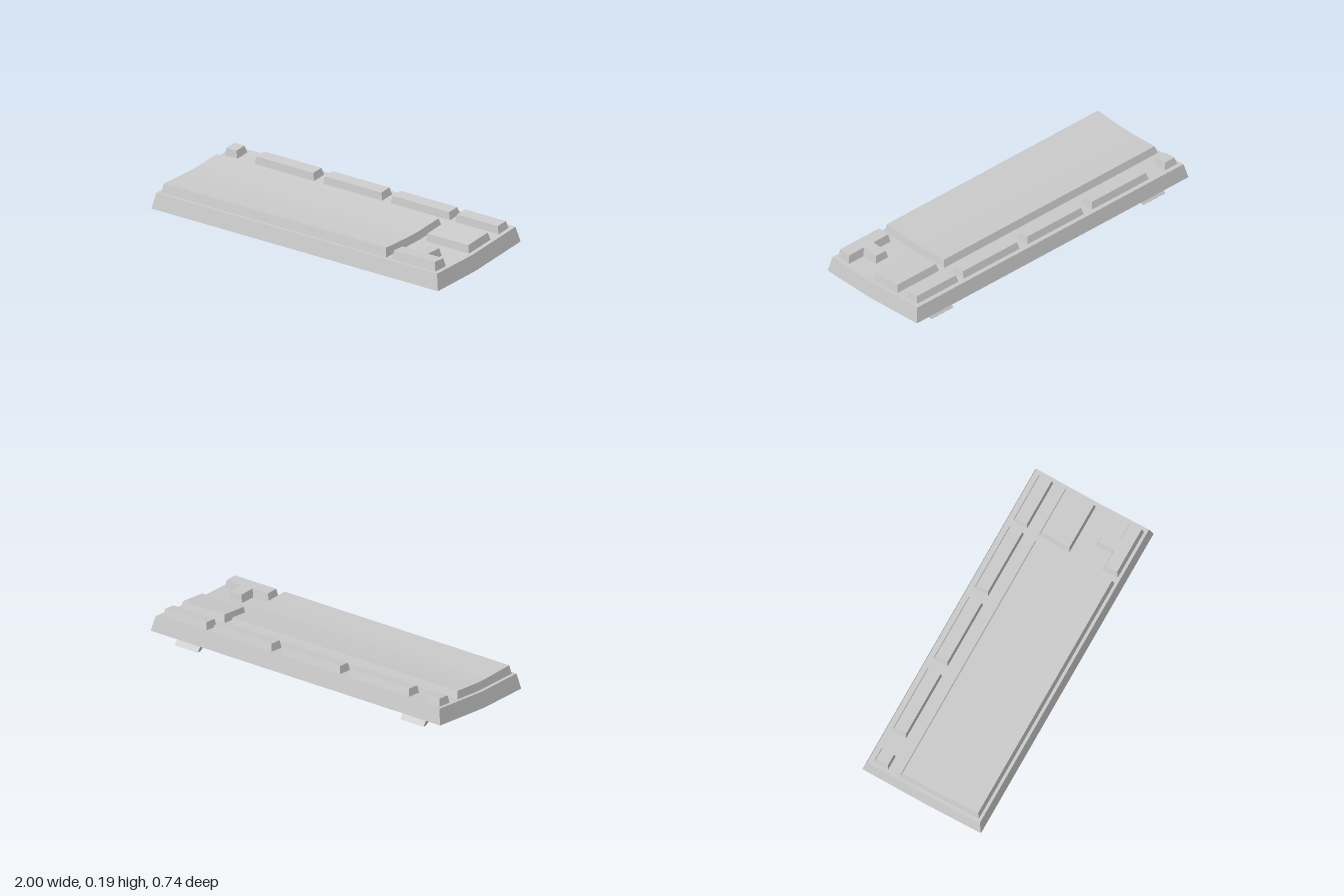
import * as THREE from 'three';
import { toCreasedNormals } from 'three/addons/utils/BufferGeometryUtils.js';

const material = new THREE.MeshStandardMaterial({ color: 0xcccccc });

// Solid between cross-sections [bottomZ, bottomY, topZ, topY], listed front to back;
// x0..x1 is the width at the bottom, and the top is narrower by inset on each side.
function loft(name, x0, x1, inset, sections) {
  const rings = sections.map(([zb, yb, zt, yt]) => [
    [x0, yb, zb], [x1, yb, zb], [x1 - inset, yt, zt], [x0 + inset, yt, zt],
  ]);
  const pos = [];
  const quad = (a, b, c, d) => pos.push(...a, ...b, ...c, ...a, ...c, ...d);
  quad(...rings[0]);
  quad(...[...rings[rings.length - 1]].reverse());
  for (let i = 0; i < rings.length - 1; i++) {
    for (let k = 0; k < 4; k++) {
      const n = (k + 1) % 4;
      quad(rings[i][k], rings[i + 1][k], rings[i + 1][n], rings[i][n]);
    }
  }
  const geometry = new THREE.BufferGeometry();
  geometry.setAttribute('position', new THREE.Float32BufferAttribute(pos, 3));
  const mesh = new THREE.Mesh(toCreasedNormals(geometry, 0.5), material);
  mesh.name = name;
  return mesh;
}

export function createModel() {
  const group = new THREE.Group();
  group.name = 'keyboard';

  // Case, bent upward towards the back
  group.add(loft('case', -1, 1, 0.02, [
    [0.372, 0.001, 0.354, 0.094],
    [0.03, 0.015, 0.033, 0.106],
    [-0.372, 0.061, -0.353, 0.15],
  ]));

  // Main key field with a dished top
  group.add(loft('mainKeys', -0.96, 0.612, 0.01, [
    [0.337, 0.094, 0.327, 0.147],
    [0.14, 0.101, 0.14, 0.147],
    [0.033, 0.105, 0.03, 0.152],
    [-0.161, 0.127, -0.147, 0.172],
  ]));

  // Separate key blocks along the back edge
  const row = [[-0.96, -0.87], [-0.75, -0.333], [-0.272, 0.142], [0.2, 0.615], [0.65, 0.955]];
  row.forEach(([x0, x1], i) => {
    group.add(loft('backRowKeys' + (i + 1), x0, x1, 0.01, [
      [-0.233, 0.135, -0.238, 0.181],
      [-0.324, 0.145, -0.311, 0.188],
    ]));
  });

  // Navigation block
  group.add(loft('navigationKeys', 0.65, 0.955, 0.01, [
    [0.034, 0.104, 0.028, 0.152],
    [-0.161, 0.127, -0.147, 0.172],
  ]));

  // Arrow cluster: a bar and a stem sharing the bar's back wall
  group.add(loft('arrowBar', 0.65, 0.955, 0.01, [
    [0.337, 0.094, 0.327, 0.147],
    [0.243, 0.097, 0.253, 0.147],
  ]));
  group.add(loft('arrowStem', 0.757, 0.848, 0.01, [
    [0.243, 0.097, 0.253, 0.147],
    [0.142, 0.1, 0.151, 0.147],
  ]));

  // Tilt feet under the back edge, mirrored
  for (const side of [-1, 1]) {
    group.add(loft(side > 0 ? 'leftFoot' : 'rightFoot', side * 0.78 - 0.08, side * 0.78 + 0.08, 0, [
      [-0.23, 0.044, -0.23, 0.048],
      [-0.316, 0, -0.295, 0.055],
      [-0.337, 0, -0.337, 0.001],
    ]));
  }
  return group;
}
